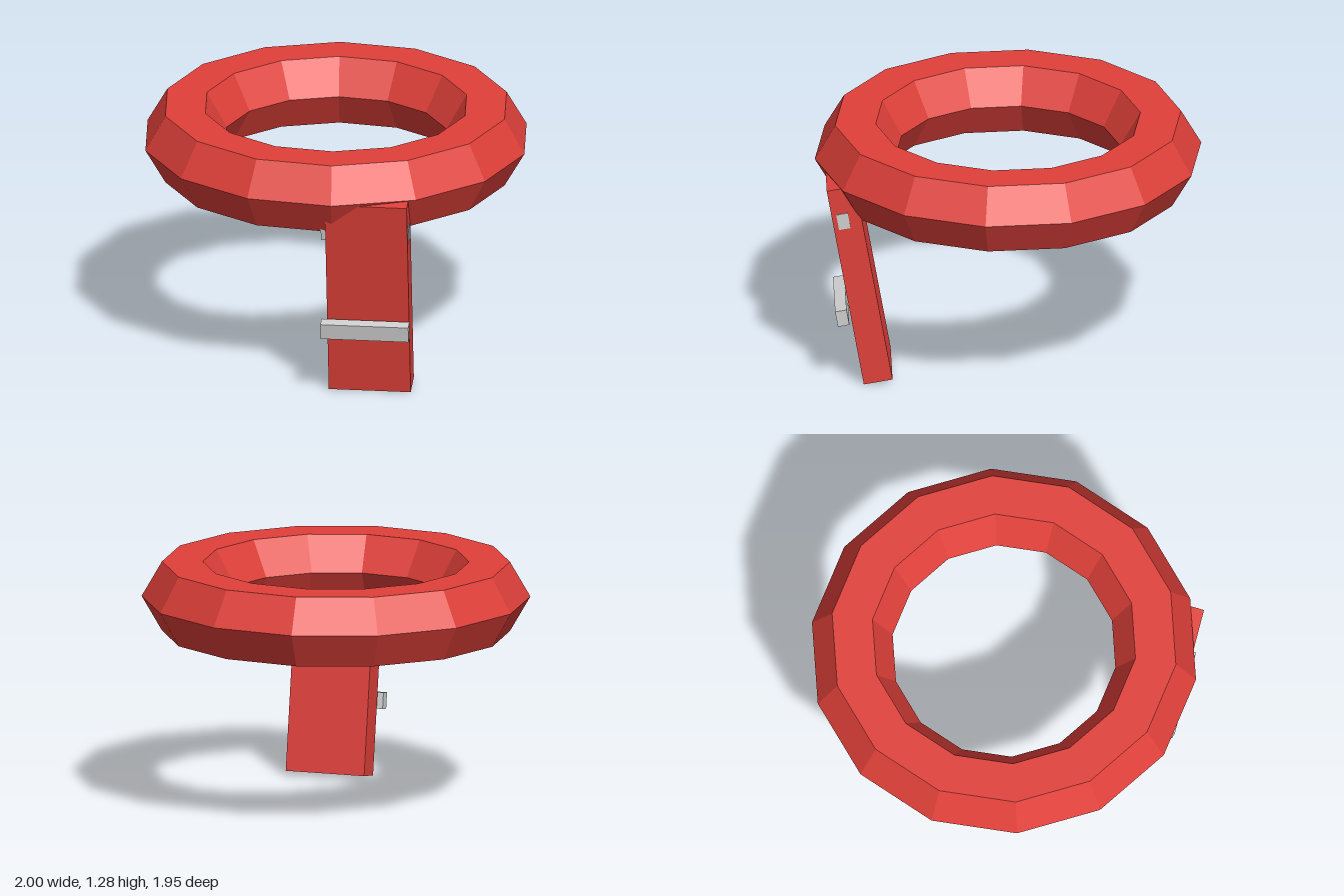
import * as THREE from 'three';

export function createModel() {
  const model = new THREE.Group();
  const red = new THREE.MeshStandardMaterial({ name: 'red', color: 0xe0403a, flatShading: true });
  const grey = new THREE.MeshStandardMaterial({ name: 'light grey', color: 0xcfcfcf, flatShading: true });

  // Faceted ring lying flat, six-sided in section
  const ring = new THREE.Mesh(new THREE.TorusGeometry(0.79, 0.21, 6, 14), red);
  ring.name = 'ring';
  ring.rotation.x = -Math.PI / 2;
  ring.position.y = 1.1;
  model.add(ring);

  // Hanging tail, turned and leaning outwards at the top
  const tail = new THREE.Group();
  tail.name = 'tail';
  tail.position.set(0.363, 0.555, 0.731);
  tail.rotation.set(THREE.MathUtils.degToRad(10), THREE.MathUtils.degToRad(8), 0, 'YXZ');
  model.add(tail);

  function addBox(name, material, size, position) {
    const mesh = new THREE.Mesh(new THREE.BoxGeometry(...size), material);
    mesh.name = name;
    mesh.position.set(...position);
    tail.add(mesh);
  }

  addBox('strap', red, [0.424, 1.1, 0.15], [0, 0, 0]);
  // Lower bar sits in front of the strap, upper bar runs through it
  addBox('lowerBar', grey, [0.455, 0.085, 0.06], [-0.012, -0.164, 0.12]);
  addBox('upperBar', grey, [0.455, 0.085, 0.06], [-0.011, 0.369, 0.02]);

  return model;
}
